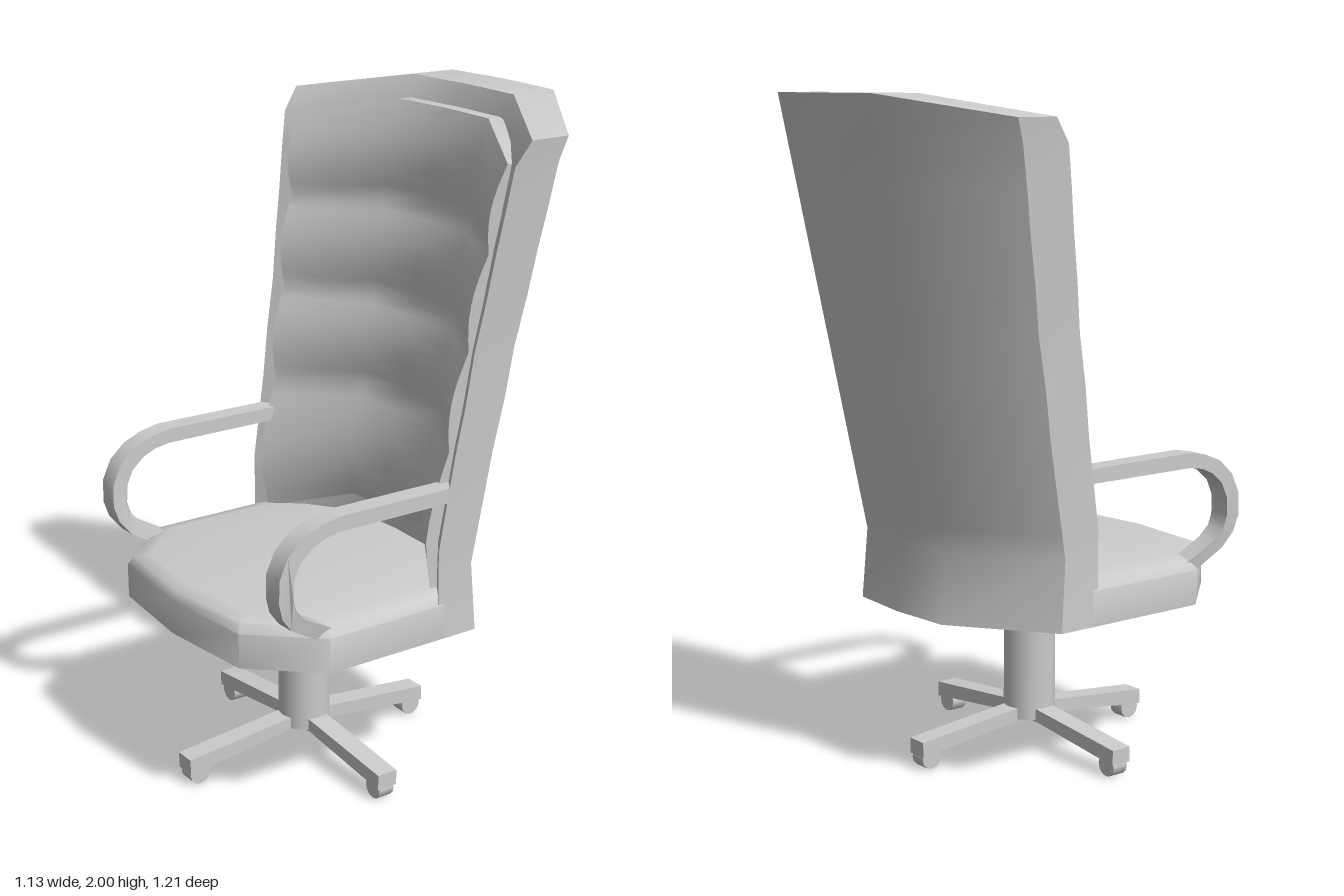
import * as THREE from 'three';
import { toCreasedNormals } from 'three/addons/utils/BufferGeometryUtils.js';

const { lerp } = THREE.MathUtils;
const grey = new THREE.MeshStandardMaterial({ color: 0xcccccc });
const greyDouble = new THREE.MeshStandardMaterial({ color: 0xcccccc, side: THREE.DoubleSide });

function addMesh(parent, name, geometry, material = grey) {
  const mesh = new THREE.Mesh(geometry, material);
  mesh.name = name;
  parent.add(mesh);
  return mesh;
}

function buildGeometry(rows, index, crease) {
  const g = new THREE.BufferGeometry();
  g.setAttribute('position', new THREE.Float32BufferAttribute(rows.flat(2), 3));
  g.setIndex(index);
  return toCreasedNormals(g, crease);
}

// Mirrored ring: rear edge from left to right, then front edge from right to left
function ring(rear, front) {
  const flip = ([x, y, z]) => [-x, y, z];
  const [r0, r1, r2] = rear, [f0, f1, f2] = front;
  return [r0, r1, r2, flip(r1), flip(r0), flip(f0), flip(f1), f2, f1, f0];
}

// Solid through a stack of rings, capped by strips between rear and front edges
function loft(rings, crease) {
  const n = rings[0].length, index = [];
  for (let r = 0; r < rings.length - 1; r++) {
    for (let i = 0; i < n; i++) {
      const a = r * n + i, b = r * n + (i + 1) % n;
      index.push(a, b, b + n, a, b + n, a + n);
    }
  }
  const top = (rings.length - 1) * n;
  for (let i = 0; i < n / 2 - 1; i++) {
    const a = i, b = i + 1, c = n - 2 - i, d = n - 1 - i;
    index.push(a, c, b, a, d, c);
    index.push(top + a, top + b, top + c, top + a, top + c, top + d);
  }
  return buildGeometry(rings, index, crease);
}

// Leaning line of the backrest's front edge
const frontEdge = y => Math.min(0, -0.045 - 0.165 * (y - 1.05));

function seatGeometry() {
  const level = (y, sx, front) => ring(
    [[0.485 * sx, y, -0.02], [0.22, y, -0.25], [0, y, -0.26]],
    [[0.485 * sx, y, 0.38 - (1 - sx) * 0.1], [0.31 * sx, y, 0.57 - front], [0, y, 0.6 - front]]);
  return loft([level(0.5, 1, 0), level(0.605, 1, 0), level(0.63, 0.95, 0.012), level(0.642, 0.84, 0.05)], 0.9);
}

function shellGeometry() {
  // height, half width
  const levels = [[0.5, 0.485], [0.71, 0.48], [0.78, 0.482], [1.05, 0.49], [1.2, 0.502], [1.35, 0.505],
    [1.5, 0.522], [1.63, 0.532], [1.75, 0.545], [1.87, 0.555]];
  const rings = levels.map(([y, w]) => {
    const t = (y - 0.71) / 1.29, low = t < 0;
    const mid = lerp(0.2, 0.235, Math.max(t, 0));
    const corner = low ? -0.135 : lerp(-0.12, -0.36, t);
    const centre = low ? -0.36 : lerp(-0.34, -0.605, t);
    const f = frontEdge(y);
    return ring(
      [[w, y, corner], [mid, y, centre + 0.015], [0, y, centre]],
      [[w, y, f], [mid, y, f - 0.2], [0, y, f - 0.21]]);
  });
  // Crowned top edge, set back at the front
  rings.push(ring(
    [[0.565, 1.94, -0.36], [0.235, 2, -0.59], [0, 2, -0.605]],
    [[0.565, 1.94, -0.23], [0.235, 2, -0.44], [0, 2, -0.45]]));
  return loft(rings, 0.9);
}

function cushionGeometry() {
  const cornerSeams = [0.63, 1.05, 1.34, 1.62, 1.87];
  const midSeams = [0.71, 1.07, 1.35, 1.64, 1.935];
  const steps = 8, rows = [];
  const addRow = (k, t, sink) => {
    const bulge = 0.004 + 0.026 * Math.sin(Math.PI * t);
    const yc = lerp(cornerSeams[k], cornerSeams[k + 1], t);
    const ym = lerp(midSeams[k], midSeams[k + 1], t);
    const u = (yc - 0.63) / 1.24;
    const w = lerp(0.425, 0.505, Math.pow(u, 1.4)), m = lerp(0.18, 0.21, u);
    const zc = frontEdge(yc) - 0.02 + bulge - sink;
    const zm = frontEdge(ym) - 0.182 + bulge - sink;
    rows.push([[-w, yc, zc - 0.05], [-w, yc, zc], [-m, ym, zm], [0, ym, zm - 0.01],
      [m, ym, zm], [w, yc, zc], [w, yc, zc - 0.05]]);
  };
  addRow(0, 0, 0.05);
  for (let k = 0; k < 4; k++) {
    for (let s = k ? 1 : 0; s <= steps; s++) addRow(k, s / steps, 0);
  }
  addRow(3, 1, 0.05);
  const index = [], n = 7;
  for (let r = 0; r < rows.length - 1; r++) {
    for (let i = 0; i < n - 1; i++) {
      const a = r * n + i;
      index.push(a, a + 1, a + n + 1, a, a + n + 1, a + n);
    }
  }
  return buildGeometry(rows, index, 0.9);
}

// Flat bar bent into a loop, with its lower end leaning inwards
function armGeometry() {
  const outline = [[-0.06, 0.96], [0.35, 0.962], [0.41, 0.95], [0.47, 0.925], [0.52, 0.88], [0.548, 0.82],
    [0.55, 0.75], [0.535, 0.7], [0.5, 0.655], [0.4, 0.595], [0.36, 0.625], [0.46, 0.682],
    [0.49, 0.715], [0.503, 0.755], [0.5, 0.81], [0.48, 0.855], [0.44, 0.89], [0.4, 0.908],
    [0.35, 0.917], [-0.06, 0.917]];
  const shape = new THREE.Shape(outline.map(([z, y]) => new THREE.Vector2(-z, y)));
  const g = new THREE.ExtrudeGeometry(shape, { depth: 0.065, bevelEnabled: false });
  g.rotateY(Math.PI / 2).translate(0.421, 0, 0);
  const p = g.attributes.position;
  for (let i = 0; i < p.count; i++) {
    p.setX(i, p.getX(i) - Math.max(0, 0.73 - p.getY(i)) * 0.2);
  }
  return toCreasedNormals(g, 0.7);
}

export function createModel() {
  const chair = new THREE.Group();
  chair.name = 'officeChair';

  addMesh(chair, 'seat', seatGeometry());
  addMesh(chair, 'backrestShell', shellGeometry());
  addMesh(chair, 'backrestCushion', cushionGeometry(), greyDouble);

  // Armrests
  const arm = armGeometry();
  addMesh(chair, 'leftArmrest', arm);
  const mirrored = arm.clone().scale(-1, 1, 1);
  for (const attribute of Object.values(mirrored.attributes)) {
    for (let i = 0; i < attribute.count; i += 3) {
      const a = [0, 1, 2].map(k => attribute.getComponent(i, k));
      for (let k = 0; k < 3; k++) {
        attribute.setComponent(i, k, attribute.getComponent(i + 1, k));
        attribute.setComponent(i + 1, k, a[k]);
      }
    }
  }
  addMesh(chair, 'rightArmrest', mirrored);

  // Pedestal
  const base = new THREE.Group();
  base.name = 'base';
  base.position.z = 0.14;
  chair.add(base);
  addMesh(base, 'column', new THREE.CylinderGeometry(0.08, 0.08, 0.29, 16)).position.y = 0.235;
  addMesh(base, 'gasLift', new THREE.CylinderGeometry(0.03, 0.03, 0.15, 12)).position.y = 0.44;

  // Four sloping legs with casters
  const legShape = new THREE.Shape([[0, 0.085], [0.08, 0.085], [0.432, 0.043], [0.432, 0.09], [0.08, 0.125], [0, 0.128]]
    .map(([x, y]) => new THREE.Vector2(x, y)));
  const legGeometry = new THREE.ExtrudeGeometry(legShape, { depth: 0.066, bevelEnabled: false }).translate(0, 0, -0.033);
  const wheelGeometry = new THREE.CylinderGeometry(0.034, 0.034, 0.052, 12).rotateX(Math.PI / 2);
  for (let i = 0; i < 4; i++) {
    const leg = new THREE.Group();
    leg.name = 'leg' + (i + 1);
    leg.rotation.y = i * Math.PI / 2;
    base.add(leg);
    addMesh(leg, 'legBar', legGeometry);
    addMesh(leg, 'caster', wheelGeometry).position.set(0.395, 0.034, 0);
  }
  return chair;
}
